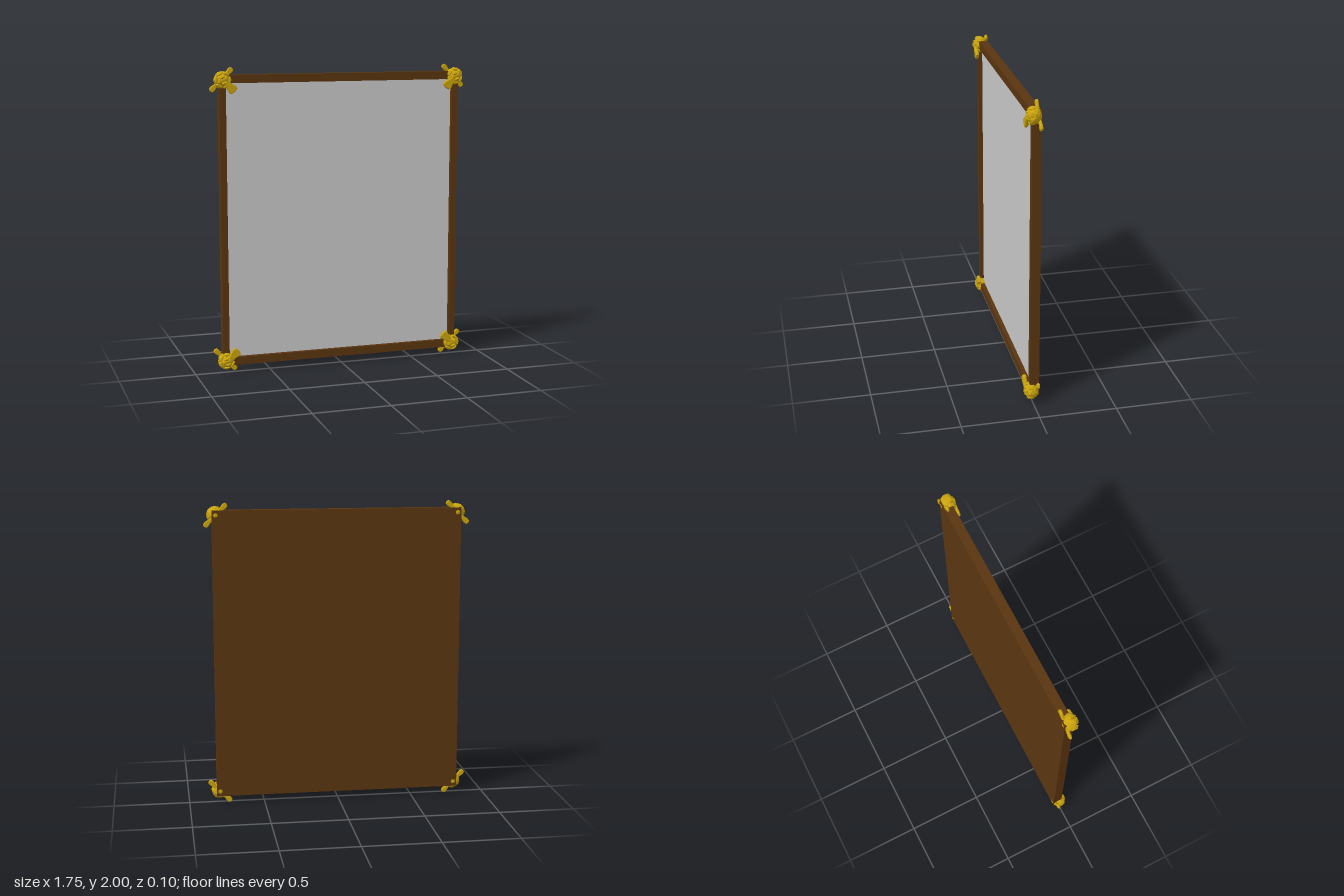
import * as THREE from 'three';

const brown = new THREE.MeshStandardMaterial({ color: 0x5a3510 });
brown.name = 'brownWood';
const grey = new THREE.MeshStandardMaterial({ color: 0xc9c9c9 });
grey.name = 'greyGlass';
const gold = new THREE.MeshStandardMaterial({ color: 0xcaa40c });
gold.name = 'gold';
gold.flatShading = true;

const HALF_W = 0.818, BOTTOM = 0.052, TOP = 1.958;
const BACK = -0.04, FRONT = 0.02;
const MID = (BOTTOM + TOP) / 2;

function box(name, w, h, d, x, y, z, material) {
  const mesh = new THREE.Mesh(new THREE.BoxGeometry(w, h, d), material);
  mesh.name = name;
  mesh.position.set(x, y, z);
  return mesh;
}

// Flattened faceted ellipsoid, used for the rose heart and petals
function blob(name, rx, ry, rz, x, y, z, detail = 1) {
  const mesh = new THREE.Mesh(new THREE.IcosahedronGeometry(1, detail), gold);
  mesh.name = name;
  mesh.scale.set(rx, ry, rz);
  mesh.position.set(x, y, z);
  return mesh;
}

// Leaf growing from the rose centre along an angle, widening to a blunt tip
function leaf(name, angle, start, end, halfWidth, z, thickness) {
  const s = new THREE.Shape();
  s.moveTo(start, -halfWidth * 0.4);
  s.lineTo(end - 0.025, -halfWidth);
  s.lineTo(end - 0.006, -halfWidth * 0.85);
  s.lineTo(end, 0);
  s.lineTo(end - 0.006, halfWidth * 0.85);
  s.lineTo(end - 0.025, halfWidth);
  s.lineTo(start, halfWidth * 0.4);
  const geo = new THREE.ExtrudeGeometry(s, {
    depth: thickness * 0.4, bevelEnabled: true, bevelThickness: thickness * 0.3,
    bevelSize: 0.004, bevelOffset: -0.004, bevelSegments: 1,
  });
  geo.translate(0, 0, -thickness * 0.2);
  const mesh = new THREE.Mesh(geo, gold);
  mesh.name = name;
  mesh.rotation.z = angle;
  mesh.position.z = z;
  return mesh;
}

// Rose with three leaves, laid out for the upper corner at -x
function cornerRose(name) {
  const rose = new THREE.Group();
  rose.name = name;
  rose.add(blob('roseBody', 0.055, 0.055, 0.046, 0, 0, -0.001));
  for (let i = 0; i < 6; i++) {
    const a = (i / 6) * Math.PI * 2;
    const petal = blob('outerPetal', 0.016, 0.03, 0.032,
      0.043 * Math.cos(a), 0.043 * Math.sin(a), 0.008, 0);
    petal.rotation.z = a;
    rose.add(petal);
  }
  for (let i = 0; i < 4; i++) {
    const a = (i / 4) * Math.PI * 2 + 0.4;
    const petal = blob('innerPetal', 0.012, 0.022, 0.018,
      0.02 * Math.cos(a), 0.02 * Math.sin(a), 0.034, 0);
    petal.rotation.z = a;
    rose.add(petal);
  }
  rose.add(
    leaf('innerLeaf', -Math.PI / 4, 0.02, 0.106, 0.031, 0.036, 0.022),
    leaf('sideLeafA', Math.PI / 4, 0.03, 0.104, 0.018, -0.028, 0.018),
    leaf('sideLeafB', -Math.PI * 3 / 4, 0.03, 0.104, 0.018, -0.028, 0.018),
  );
  return rose;
}

export function createModel() {
  const model = new THREE.Group();
  model.name = 'framedMirror';

  // Wooden back board and the four frame bars
  const height = TOP - BOTTOM, depth = FRONT - BACK;
  const barW = 0.043, barH = 0.053, zMid = (FRONT + BACK) / 2;
  const innerW = (HALF_W - barW) * 2, innerH = height - barH * 2;
  for (const s of [-1, 1]) {
    model.add(box(s > 0 ? 'leftBar' : 'rightBar', barW, height, depth,
      s * (HALF_W - barW / 2), MID, zMid, brown));
    model.add(box(s > 0 ? 'topBar' : 'bottomBar', innerW, barH, depth,
      0, MID + s * (height - barH) / 2, zMid, brown));
  }
  model.add(box('backBoard', innerW, innerH, 0.025, 0, MID, BACK + 0.0125, brown));

  // Recessed pane
  model.add(box('pane', innerW, innerH, 0.008, 0, MID, -0.011, grey));

  // Corner roses, each a quarter turn from the last
  const corners = [[-1, 1, 0], [-1, -1, 1], [1, -1, 2], [1, 1, 3]];
  for (const [sx, sy, turn] of corners) {
    const rose = cornerRose('cornerRose');
    rose.position.set(sx * 0.795, MID + sy * 0.921, 0.003);
    rose.rotation.z = turn * Math.PI / 2;
    model.add(rose);
  }
  return model;
}
